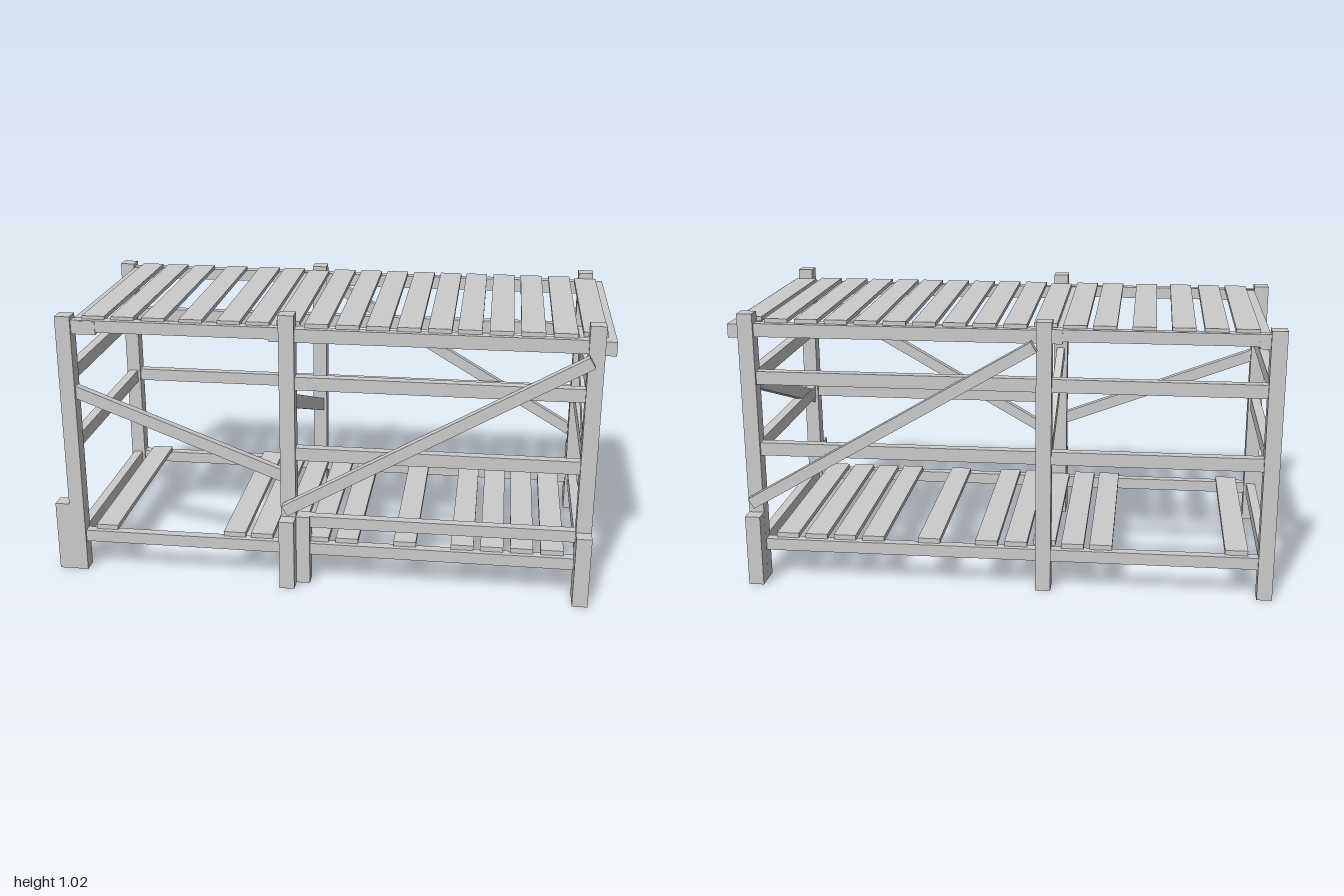
import * as THREE from 'three';

export function createModel() {
  const root = new THREE.Group();
  const wood = new THREE.MeshStandardMaterial({ color: 0xcccccc });

  // Box given by its min/max extents
  function box(name, x0, x1, y0, y1, z0, z1) {
    const m = new THREE.Mesh(new THREE.BoxGeometry(x1 - x0, y1 - y0, z1 - z0), wood);
    m.name = name;
    m.position.set((x0 + x1) / 2, (y0 + y1) / 2, (z0 + z1) / 2);
    root.add(m);
    return m;
  }

  // Slanted board in the xy plane (along x) at depth z
  function braceX(name, x0, y0, x1, y1, z, width, thick) {
    const len = Math.hypot(x1 - x0, y1 - y0);
    const m = box(name, -len / 2, len / 2, -width / 2, width / 2, -thick / 2, thick / 2);
    m.position.set((x0 + x1) / 2, (y0 + y1) / 2, z);
    m.rotation.z = Math.atan2(y1 - y0, x1 - x0);
  }

  // Slanted board in the zy plane (along z) at position x
  function braceZ(name, z0, y0, z1, y1, x, width, thick) {
    const len = Math.hypot(z1 - z0, y1 - y0);
    const m = box(name, -thick / 2, thick / 2, -width / 2, width / 2, -len / 2, len / 2);
    m.position.set(x, (y0 + y1) / 2, (z0 + z1) / 2);
    m.rotation.x = -Math.atan2(y1 - y0, z1 - z0);
  }

  // Six posts: x, front height, back height
  const L = -0.92, M = -0.122, R = 0.934, H = 0.0275, Z = 0.402;
  for (const [x, front, back] of [[L, 0.987, 0.987], [M, 1.02, 1.0], [R, 1.022, 1.006]]) {
    box('frontPost', x - H, x + H, 0, front, Z - H, Z + H);
    box('backPost', x - H, x + H, 0, back, -Z - H, -Z + H);
  }

  // Short foot blocks fixed to the posts
  const foot = 0.265;
  box('footBlock', R - H, R + H, 0, foot, 0.43, 0.482);
  box('footBlock', R - H, R + H, 0, foot, -0.482, -0.43);
  box('footBlock', M - H, M + H, 0, foot, 0.43, 0.482);
  box('footBlock', M + H, -0.045, 0, foot, Z - H, Z + H);
  box('footBlock', -1, L - H, 0, foot, Z - H, Z + H);

  // Long rails between posts, on the front and back
  const T = 0.0175;
  for (const s of [1, -1]) {
    const railX = (name, x0, x1, y0, y1) => box(name, x0, x1, y0, y1, s * Z - T, s * Z + T);
    railX('topRail', L + H, M - H, 0.93, 0.973);
    railX('topRail', M + H, R - H, 0.922, 0.97);
    railX('bottomRail', L + H, M - H, 0.113, 0.157);
    railX('bottomRail', M + H, R - H, 0.113, 0.157);
    for (const y of [0.772, 0.506]) {
      railX('middleRail', M + H, R - H, y - 0.024, y + 0.024);
      if (s < 0) railX('middleRail', L + H, M - H, y - 0.024, y + 0.024);
    }
  }
  box('lowFrontRail', -0.045, R - H, 0.222, 0.265, Z - T, Z + T);

  // End rails along the depth
  for (const x of [L, R]) {
    for (const y of [0.766, 0.502]) {
      box('endRail', x - T, x + T, y - 0.025, y + 0.025, -Z + H, Z - H);
    }
    box('bottomEndRail', x - T, x + T, 0.108, 0.157, -Z + H, Z - H);
  }

  // Cross beams under the top boards
  box('crossBeam', 0.962, 1, 0.918, 0.967, -0.42, 0.42);
  box('crossBeam', -0.186, M - H, 0.922, 0.97, -0.42, 0.42);
  box('crossBeam', L + H, -0.855, 0.922, 0.97, -0.42, 0.42);
  box('beamBlock', L + H, -0.805, 0.922, 0.97, Z - T, 0.421);

  // Slanted braces
  braceX('frontBrace', -0.13, 0.302, 0.92, 0.905, 0.452, 0.042, 0.032);
  braceX('backBrace', -0.09, 0.92, 0.94, 0.31, -0.452, 0.042, 0.032);
  braceX('leftFrontBrace', -0.91, 0.708, -0.13, 0.412, Z, 0.044, 0.03);
  braceZ('endBrace', 0.39, 0.478, -0.39, 0.756, R, 0.05, 0.03);
  braceZ('middleBrace', 0.39, 0.698, -0.39, 0.407, M, 0.05, 0.03);

  // Top boards, with a few missing from the lower shelf
  const slats = [-0.816, -0.711, -0.6, -0.465, -0.33, -0.227, -0.123, -0.02, 0.088,
    0.193, 0.3, 0.406, 0.508, 0.615, 0.722, 0.83, 0.93];
  const lower = [0, 4, 5, 6, 7, 8, 10, 12, 13, 14, 15];
  slats.forEach((x, i) => {
    const z = i === 6 || i === 16 ? 0.374 : 0.4;
    box('topSlat', x - 0.041, x + 0.041, 0.97, 0.985, -z, z);
    if (lower.includes(i)) box('shelfSlat', x - 0.041, x + 0.041, 0.157, 0.175, -z, z);
  });

  return root;
}
